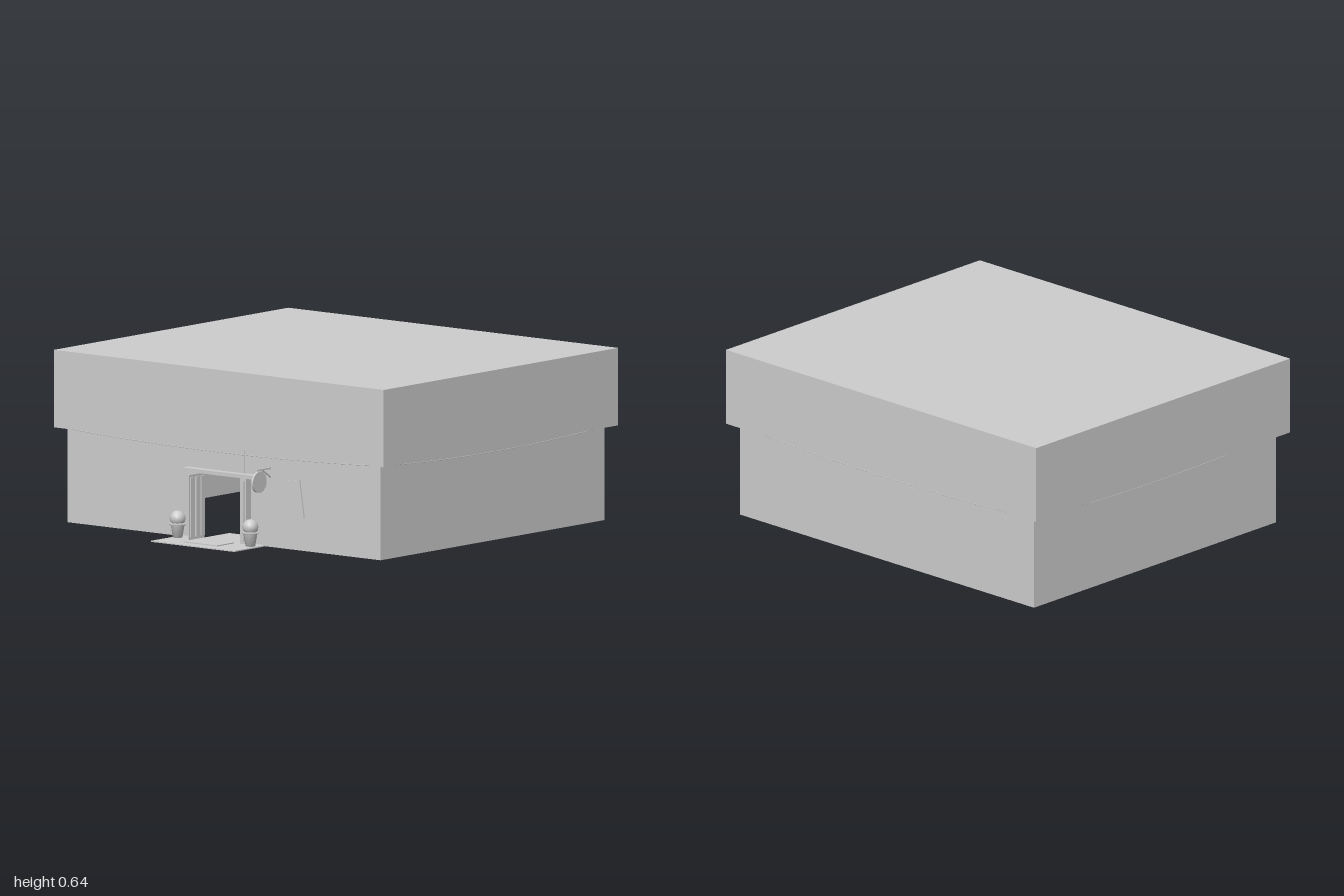
import * as THREE from 'three';

export function createModel() {
  const root = new THREE.Group();
  const gray = new THREE.MeshStandardMaterial({ color: 0xcccccc, side: THREE.DoubleSide });
  gray.name = 'light gray';

  // The building stands turned about the vertical axis
  const house = new THREE.Group();
  house.name = 'building';
  house.rotation.y = 0.418;
  root.add(house);

  const add = (name, geo, x = 0, y = 0, z = 0, parent = house) => {
    const m = new THREE.Mesh(geo, gray);
    m.name = name;
    m.position.set(x, y, z);
    parent.add(m);
    return m;
  };
  // Box given by its minimum and maximum corners
  const box = (name, x0, x1, y0, y1, z0, z1) =>
    add(name, new THREE.BoxGeometry(x1 - x0, y1 - y0, z1 - z0),
      (x0 + x1) / 2, (y0 + y1) / 2, (z0 + z1) / 2);

  const T = 0.006;                       // wall thickness
  const LW = 0.6515, LL = 0.75, LH = 0.355; // lower storey half sizes and height
  const UW = 0.683, UL = 0.791, UH = 0.645; // upper storey

  // Lower walls, with a doorway in the -x wall
  box('lowerWall', LW - T, LW, 0, LH, -LL, LL);
  for (const s of [-1, 1]) {
    box('lowerWall', -LW, LW, 0, LH, s * LL - (s > 0 ? T : 0), s * LL + (s > 0 ? 0 : T));
    box('doorWall', -LW, -LW + T, 0, LH, s > 0 ? 0.1 : -LL, s > 0 ? LL : -0.1);
  }
  box('transom', -LW - 0.004, -LW + T, 0.255, LH, -0.1, 0.1);

  // Upper storey: walls, roof and the overhang below, hollow inside
  for (const s of [-1, 1]) {
    add('upperWall', new THREE.BoxGeometry(T, UH - LH, 2 * UL), s * (UW - T / 2), (UH + LH) / 2, 0);
    add('upperWall', new THREE.BoxGeometry(2 * UW, UH - LH, T), 0, (UH + LH) / 2, s * (UL - T / 2));
  }
  box('roof', -UW, UW, UH - T, UH, -UL, UL);
  const rect = (S, w, l) => new S([[-w, -l], [w, -l], [w, l], [-w, l]].map(p => new THREE.Vector2(...p)));
  const ring = rect(THREE.Shape, UW, UL);
  ring.holes.push(rect(THREE.Path, LW - 0.012, LL - 0.012));
  add('overhang', new THREE.ExtrudeGeometry(ring, { depth: 0.004, bevelEnabled: false }), 0, LH + 0.004, 0)
    .rotation.x = Math.PI / 2;

  // Thin wires sagging under the overhang on all four sides
  const c = [[-1, -1], [1, -1], [1, 1], [-1, 1]]
    .map(([a, b]) => new THREE.Vector3(a * (LW + 0.014), LH, b * (LL + 0.014)));
  c.forEach((a, i) => {
    const b = c[(i + 1) % 4];
    const mid = a.clone().add(b).multiplyScalar(0.5);
    mid.y = LH - 0.042;
    add('hangingWire', new THREE.TubeGeometry(new THREE.QuadraticBezierCurve3(a, mid, b), 24, 0.0015, 4));
  });

  // Step outside, sill running into the doorway, and a mat
  box('doorStep', -0.835, -LW, 0, 0.004, -0.2, 0.2);
  box('doorSill', -LW, -0.5, 0, 0.004, -0.1, 0.1);
  box('doorMat', -0.79, -0.69, 0.004, 0.008, -0.08, 0.08);

  // Door surround and the leaf standing open
  for (const s of [-1, 1]) {
    box('doorPilaster', -LW - 0.03, -LW, 0, 0.25, s * 0.115 - 0.014, s * 0.115 + 0.014);
    box('pilasterFace', -LW - 0.036, -LW - 0.03, 0.012, 0.24, s * 0.115 - 0.007, s * 0.115 + 0.007);
  }
  box('doorLintel', -LW - 0.034, -LW, 0.25, 0.264, -0.17, 0.165);
  box('openDoor', -0.742, -LW - 0.004, 0.006, 0.25, -0.1, -0.093);
  for (let i = 0; i < 3; i++)
    box('doorBatten', -0.738 + i * 0.031, -0.718 + i * 0.031, 0.015, 0.24, -0.093, -0.088);

  // Potted bushes on both sides of the door
  const pot = [[0, 0], [0.018, 0], [0.026, 0.046], [0.03, 0.046], [0.03, 0.054], [0, 0.054]]
    .map(p => new THREE.Vector2(...p));
  for (const z of [-0.18, 0.169]) {
    add('pot', new THREE.LatheGeometry(pot, 12), -0.704, 0.004, z);
    add('bush', new THREE.SphereGeometry(0.03, 12, 8), -0.704, 0.075, z);
  }

  // Round sign hanging out from the wall on a bracket
  add('roundSign', new THREE.CylinderGeometry(0.04, 0.04, 0.008, 20), -0.718, 0.25, 0.222)
    .rotation.x = Math.PI / 2;
  box('signArm', -0.735, -LW, 0.292, 0.298, 0.219, 0.225);
  const brace = new THREE.LineCurve3(new THREE.Vector3(-LW, 0.262, 0.222), new THREE.Vector3(-0.7, 0.294, 0.222));
  add('signBrace', new THREE.TubeGeometry(brace, 1, 0.003, 6));

  // Tilted board on the wall
  const board = add('wallBoard', new THREE.BoxGeometry(0.006, 0.145, 0.135), -LW - 0.004, 0.183, 0.31);
  board.rotation.x = -0.15;
  return root;
}
